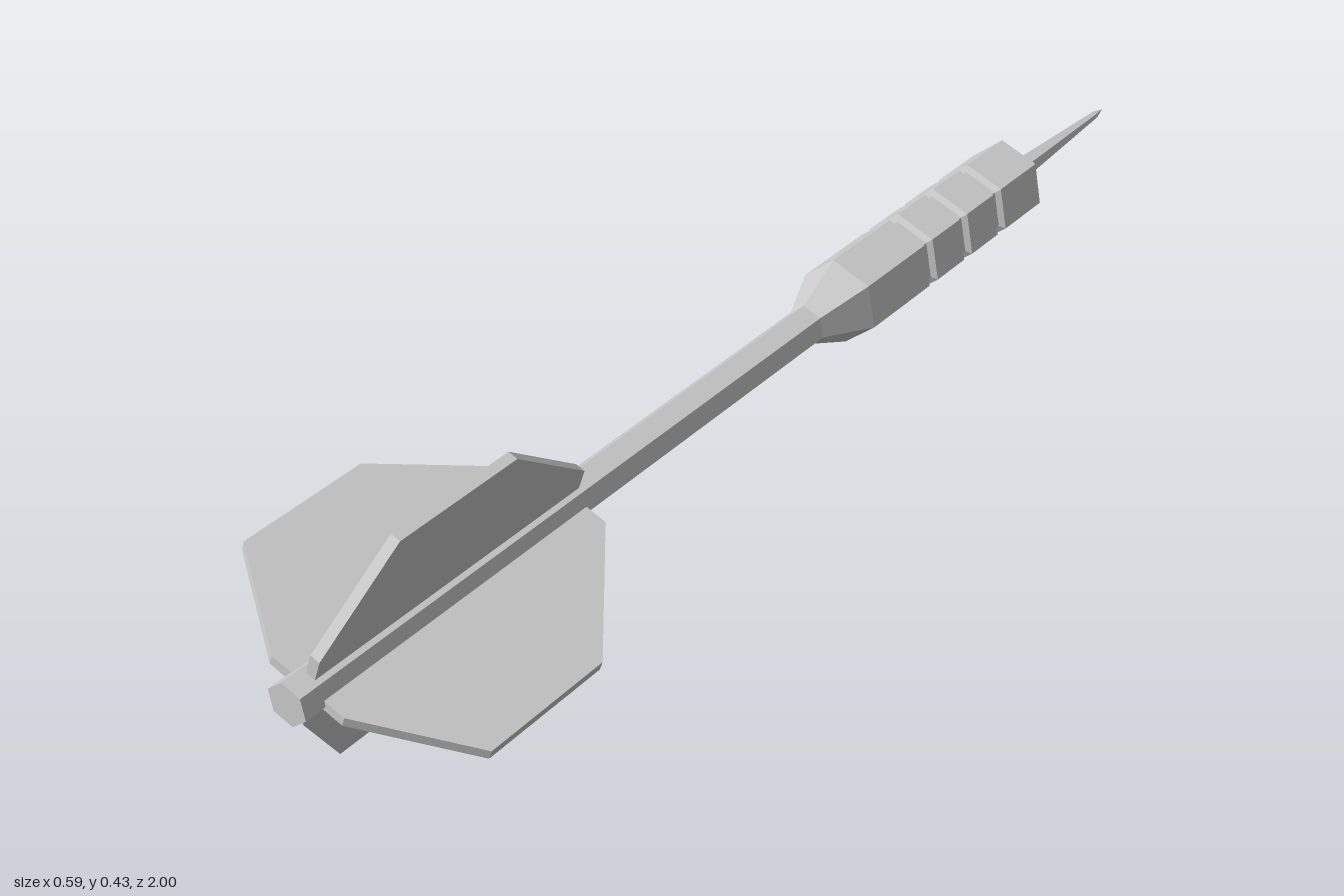
import * as THREE from 'three';

const material = new THREE.MeshStandardMaterial({ color: 0xcccccc, flatShading: true });

// Six-sided turned part along z; profile is [z, radius] from point to tail
function hexTurned(name, profile) {
  const points = profile.map(([z, r]) => new THREE.Vector2(r, z));
  const geometry = new THREE.LatheGeometry(points, 6, Math.PI / 2).rotateX(Math.PI / 2);
  const mesh = new THREE.Mesh(geometry, material);
  mesh.name = name;
  return mesh;
}

export function createModel() {
  const dart = new THREE.Group();
  dart.name = 'dart';

  // Needle point
  dart.add(hexTurned('point', [[-1.018, 0], [-0.99, 0.007], [-0.73, 0.02], [-0.72, 0]]));

  // Grip with three narrow grooves
  const R = 0.071, grooveR = 0.06;
  const grip = [[-0.737, 0], [-0.737, 0.028], [-0.702, R]];
  for (const z of [-0.582, -0.48, -0.378]) {
    grip.push([z - 0.012, R], [z - 0.007, grooveR], [z + 0.007, grooveR], [z + 0.012, R]);
  }
  grip.push([-0.21, R], [-0.122, 0.033], [-0.122, 0]);
  dart.add(hexTurned('grip', grip));

  // Shaft
  dart.add(hexTurned('shaft', [[-0.13, 0], [-0.13, 0.033], [1.013, 0.034], [1.013, 0]]));

  // Four flights, outlined as (distance along shaft, distance from axis)
  const outline = [[0.451, 0], [0.451, 0.065], [0.645, 0.224], [0.87, 0.224], [0.977, 0.065], [0.977, 0]];
  const shape = new THREE.Shape(outline.map(([z, r]) => new THREE.Vector2(z, r)));
  const thickness = 0.016;
  const flight = new THREE.ExtrudeGeometry(shape, { depth: thickness, bevelEnabled: false });
  flight.translate(0, 0, -thickness / 2);
  flight.applyMatrix4(new THREE.Matrix4().makeBasis(
    new THREE.Vector3(0, 0, 1), new THREE.Vector3(1, 0, 0), new THREE.Vector3(0, 1, 0)));
  for (let i = 0; i < 4; i++) {
    const mesh = new THREE.Mesh(flight, material);
    mesh.name = 'flight' + (i + 1);
    mesh.rotation.z = i * Math.PI / 2;
    dart.add(mesh);
  }

  // Lay the dart level, rolled and turned slightly
  dart.rotation.set(0, 0.2025, THREE.MathUtils.degToRad(-20));
  dart.position.set(-0.09, 0.213, 0);

  const model = new THREE.Group();
  model.name = 'model';
  model.add(dart);
  return model;
}
